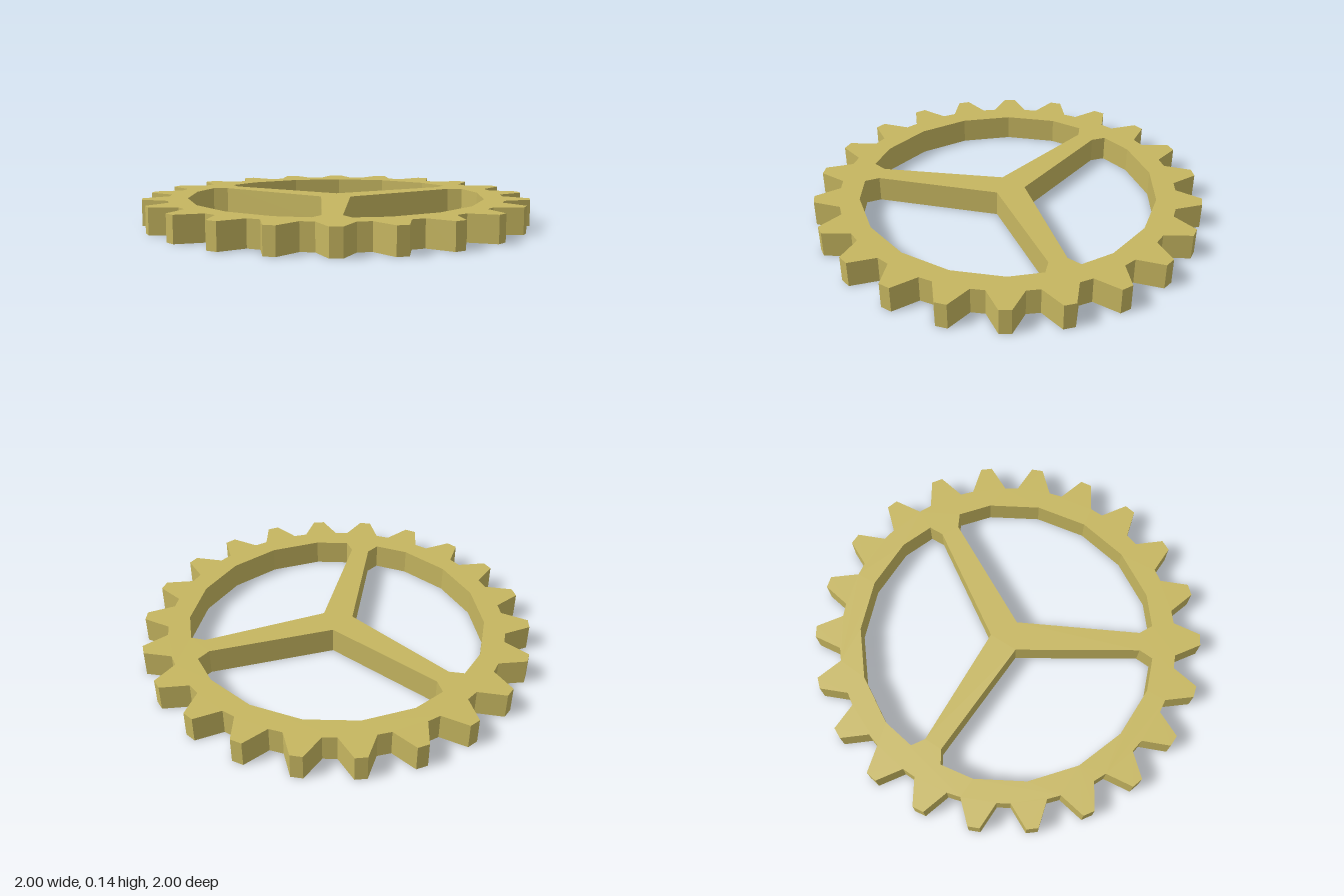
import * as THREE from 'three';

const HEIGHT = 0.135;
const TEETH = 22;
const polar = (r, deg) => {
  const a = THREE.MathUtils.degToRad(deg);
  return new THREE.Vector2(r * Math.cos(a), r * Math.sin(a));
};

export function createModel() {
  const group = new THREE.Group();
  group.name = 'gearWheel';
  const brass = new THREE.MeshStandardMaterial({ color: 0xc6b660 });
  brass.name = 'brass';

  // Toothed outline: each tooth tapers from a wide root to a narrow flat tip
  const outline = [];
  for (let i = 0; i < TEETH; i++) {
    const c = 4 + (i * 360) / TEETH;
    outline.push(polar(0.872, c - 5.9), polar(1.001, c - 1.7), polar(1.001, c + 1.7), polar(0.872, c + 5.9));
  }
  const shape = new THREE.Shape(outline);

  // Three windows that leave a rim and three tapering spokes: [radius, angle from window centre]
  const windowProfile = [
    [0.088, 0], [0.688, -56], [0.757, -53.2], [0.77, -40], [0.77, -20],
    [0.77, 0], [0.77, 20], [0.77, 40], [0.757, 53.2], [0.688, 56],
  ];
  for (const centre of [60, 180, 300]) {
    shape.holes.push(new THREE.Path(windowProfile.map(([r, a]) => polar(r, centre + a))));
  }

  // Lay the plate flat, standing on y = 0
  const geometry = new THREE.ExtrudeGeometry(shape, { depth: HEIGHT, bevelEnabled: false });
  geometry.rotateX(Math.PI / 2).translate(0, HEIGHT, 0);
  const gear = new THREE.Mesh(geometry, brass);
  gear.name = 'spokedGear';
  group.add(gear);
  return group;
}
